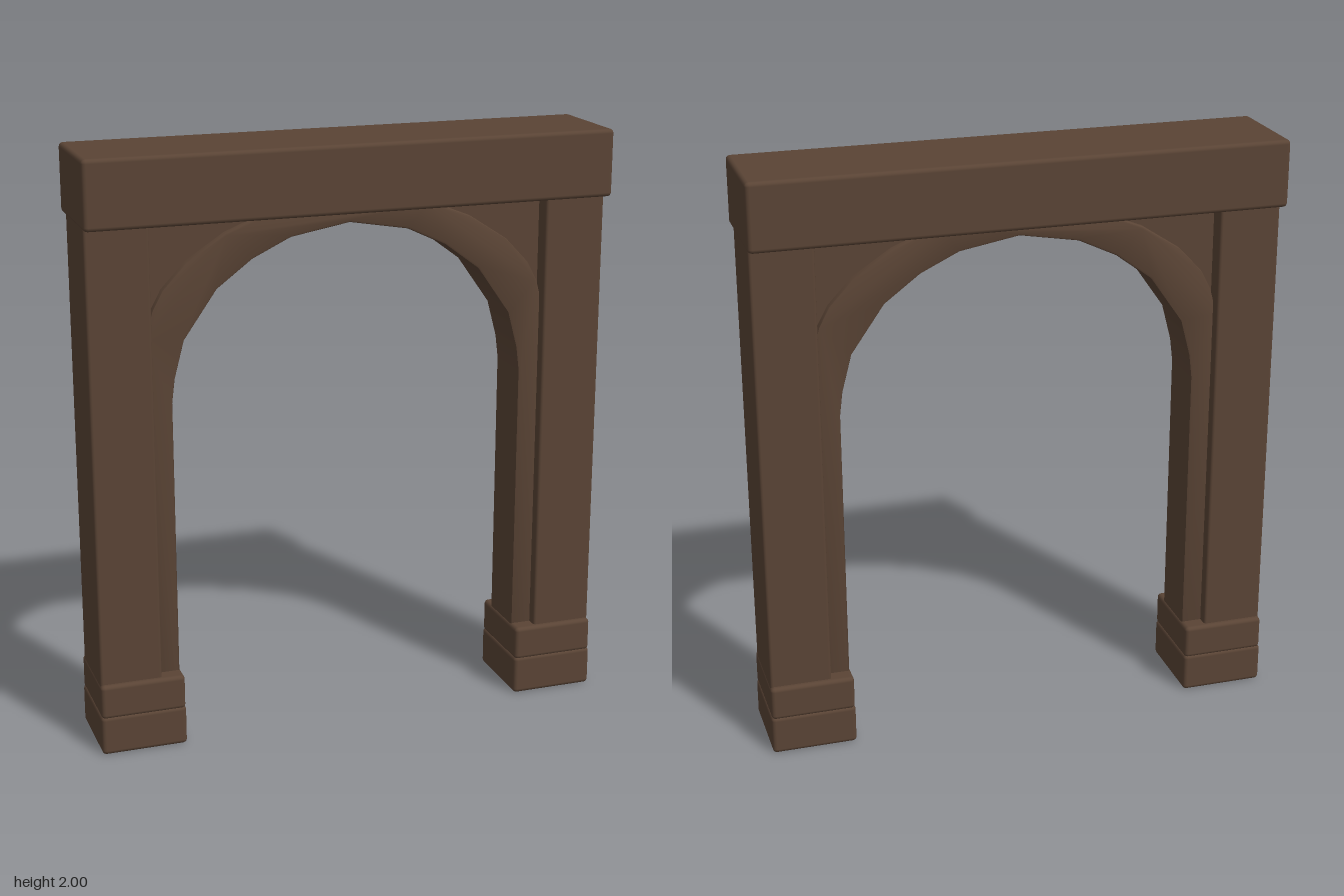
import * as THREE from 'three';
import { toCreasedNormals } from 'three/addons/utils/BufferGeometryUtils.js';
import { RoundedBoxGeometry } from 'three/addons/geometries/RoundedBoxGeometry.js';

const wood = new THREE.MeshStandardMaterial({ color: 0x5a4435 });
wood.name = 'dark brown wood';

export function createModel() {
  const group = new THREE.Group();
  group.name = 'archway';

  const add = (name, geometry) => {
    const mesh = new THREE.Mesh(geometry, wood);
    mesh.name = name;
    group.add(mesh);
    return mesh;
  };
  // Softened beam given by its lower and upper limits, centred in depth
  const beam = (name, x0, x1, y0, y1, depth, radius) =>
    add(name, new RoundedBoxGeometry(x1 - x0, y1 - y0, depth, 2, radius))
      .position.set((x0 + x1) / 2, (y0 + y1) / 2, 0);

  // Mirrors a half profile, running from the right foot to the crown
  const mirrored = (half) => [...half, ...half.slice().reverse().filter(p => p[0] > 0).map(([x, y]) => [-x, y])];
  const plate = (name, points, depth, bevel) => {
    const shape = new THREE.Shape(points.map(p => new THREE.Vector2(...p)));
    const geo = new THREE.ExtrudeGeometry(shape, {
      depth: depth - 2 * bevel, bevelEnabled: bevel > 0,
      bevelSize: bevel, bevelThickness: bevel, bevelOffset: -bevel, bevelSegments: 2,
    });
    geo.translate(0, 0, bevel - depth / 2);
    add(name, toCreasedNormals(geo, 0.6));
  };

  // Lintel
  beam('lintel', -0.89, 0.89, 1.775, 2, 0.355, 0.014);

  // Posts on stacked two-block plinths
  for (const [side, s] of [['left', 1], ['right', -1]]) {
    const span = (a, b) => (s > 0 ? [a, b] : [-b, -a]);
    beam(side + 'Post', ...span(0.675, 0.884), 0.2, 1.79, 0.26, 0.01);
    beam(side + 'PlinthLower', ...span(0.598, 0.888), 0, 0.136, 0.296, 0.014);
    beam(side + 'PlinthUpper', ...span(0.6, 0.886), 0.128, 0.247, 0.294, 0.014);
  }

  // Arch lining: inner jambs joined by a curved rib
  const inner = mirrored([[0.605, 0.2], [0.605, 1.18], [0.595, 1.26], [0.562, 1.385],
    [0.45, 1.545], [0.33, 1.635], [0.2, 1.697], [0, 1.732]]);
  const outer = mirrored([[0.69, 0.2], [0.69, 1.4], [0.665, 1.49], [0.63, 1.555],
    [0.55, 1.64], [0.42, 1.725], [0.27, 1.785]]);
  plate('archRib', [...outer, ...inner.slice().reverse()], 0.185, 0.008);

  // Recessed panels filling the corners above the rib
  for (const s of [1, -1]) {
    plate(s > 0 ? 'leftSpandrel' : 'rightSpandrel',
      [[0.69, 1.36], [0.69, 1.79], [0.2, 1.79], [0.24, 1.74], [0.4, 1.66], [0.55, 1.53], [0.62, 1.4]]
        .map(([x, y]) => [s * x, y]), 0.14, 0);
  }
  return group;
}
